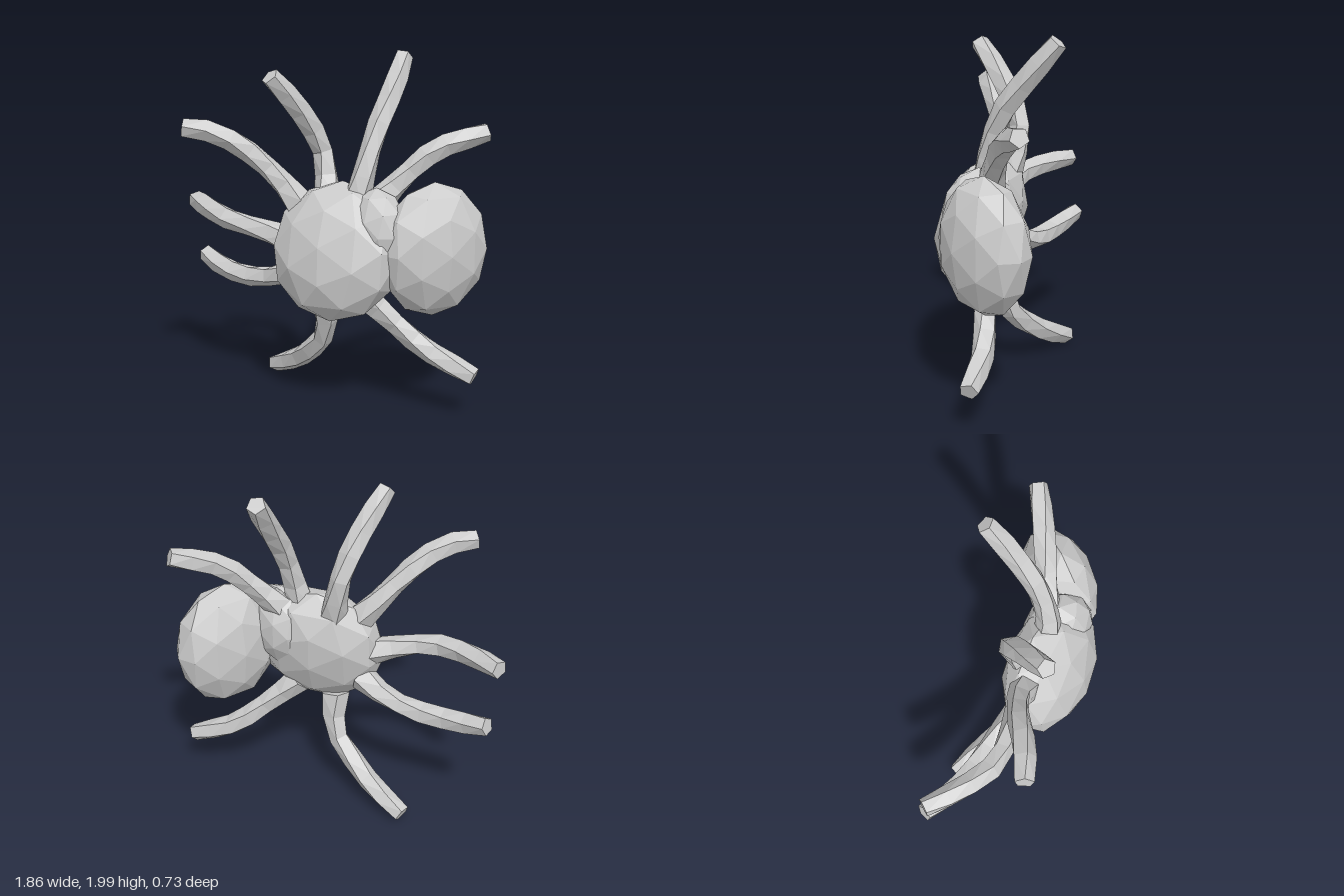
import * as THREE from 'three';

const material = new THREE.MeshStandardMaterial({ color: 0xcccccc, flatShading: true });
const SIDES = 5;

// Faceted ellipsoid, leaned about x and turned about the vertical axis
function blob(name, center, radii, lean, turn) {
  const mesh = new THREE.Mesh(new THREE.IcosahedronGeometry(1, 1), material);
  mesh.name = name;
  mesh.position.set(...center);
  mesh.scale.set(...radii);
  mesh.rotation.set(lean, turn, 0);
  return mesh;
}

// Five-sided limb lofted along a smooth curve from root to tip, closed at both ends
function leg(name, points) {
  const curve = new THREE.CatmullRomCurve3(points.map((p) => new THREE.Vector3(...p)));
  const radii = [0.085, 0.068, 0.06, 0.065, 0.064, 0.063, 0.053];
  const steps = radii.length - 1;
  const frames = curve.computeFrenetFrames(steps, false);
  const pos = [], index = [];
  for (let i = 0; i <= steps; i++) {
    const c = curve.getPointAt(i / steps);
    for (let j = 0; j < SIDES; j++) {
      const a = (j / SIDES) * Math.PI * 2 + i * 0.2;
      const v = c.clone()
        .addScaledVector(frames.normals[i], Math.cos(a) * radii[i])
        .addScaledVector(frames.binormals[i], Math.sin(a) * radii[i]);
      pos.push(v.x, v.y, v.z);
    }
  }
  for (let i = 0; i < steps; i++) {
    for (let j = 0; j < SIDES; j++) {
      const k = (j + 1) % SIDES;
      const a = i * SIDES + j, b = i * SIDES + k;
      index.push(a, b, a + SIDES, b, b + SIDES, a + SIDES);
    }
  }
  const end = steps * SIDES;
  for (let j = 1; j < SIDES - 1; j++) {
    index.push(0, j + 1, j, end, end + j, end + j + 1);
  }
  const geometry = new THREE.BufferGeometry();
  geometry.setAttribute('position', new THREE.Float32BufferAttribute(pos, 3));
  geometry.setIndex(index);
  const flat = geometry.toNonIndexed();
  flat.computeVertexNormals();
  const mesh = new THREE.Mesh(flat, material);
  mesh.name = name;
  return mesh;
}

export function createModel() {
  const group = new THREE.Group();
  group.name = 'eightLeggedCreature';

  // Two rounded body masses joined by a thick neck
  group.add(blob('body', [0.115, 0.915, 0.12], [0.39, 0.39, 0.225], -0.28, -0.15));
  group.add(blob('neck', [0.335, 1.04, 0.09], [0.21, 0.24, 0.16], 0, -Math.PI / 4));
  group.add(blob('head', [0.635, 0.94, 0], [0.325, 0.375, 0.2], 0, Math.PI / 4));

  // Eight limbs, each from its root in the body to its tip
  const legs = {
    upperRightLeg: [[0.02, 1.17, -0.01], [0, 1.28, -0.05], [-0.04, 1.46, -0.07], [-0.13, 1.68, 0.05], [-0.24, 1.87, 0.2]],
    upperLeftLeg: [[0.21, 1.18, 0.07], [0.24, 1.3, 0.06], [0.29, 1.55, -0.02], [0.34, 1.8, -0.2], [0.355, 1.96, -0.33]],
    outerLeftLeg: [[0.33, 1.19, 0.03], [0.47, 1.34, -0.03], [0.62, 1.48, -0.1], [0.87, 1.57, -0.22]],
    outerRightLeg: [[-0.13, 1.15, 0.05], [-0.22, 1.25, 0.05], [-0.39, 1.43, 0.11], [-0.57, 1.55, 0.2], [-0.74, 1.575, 0.26]],
    middleRightLeg: [[-0.18, 0.93, 0.04], [-0.36, 0.98, 0.04], [-0.57, 1.02, 0.02], [-0.76, 1.05, -0.1], [-0.92, 1.06, -0.25]],
    lowerRightLeg: [[-0.14, 0.77, 0.02], [-0.3, 0.69, -0.06], [-0.5, 0.65, -0.12], [-0.7, 0.665, -0.19], [-0.88, 0.715, -0.29]],
    bottomRightLeg: [[0.02, 0.62, 0.06], [0.01, 0.4, 0], [-0.12, 0.24, -0.09], [-0.25, 0.14, -0.19], [-0.43, 0.05, -0.3]],
    bottomLeftLeg: [[0.24, 0.68, 0.08], [0.42, 0.52, 0.04], [0.62, 0.36, 0.01], [0.89, 0.245, 0.035]],
  };
  for (const [name, points] of Object.entries(legs)) group.add(leg(name, points));

  return group;
}
